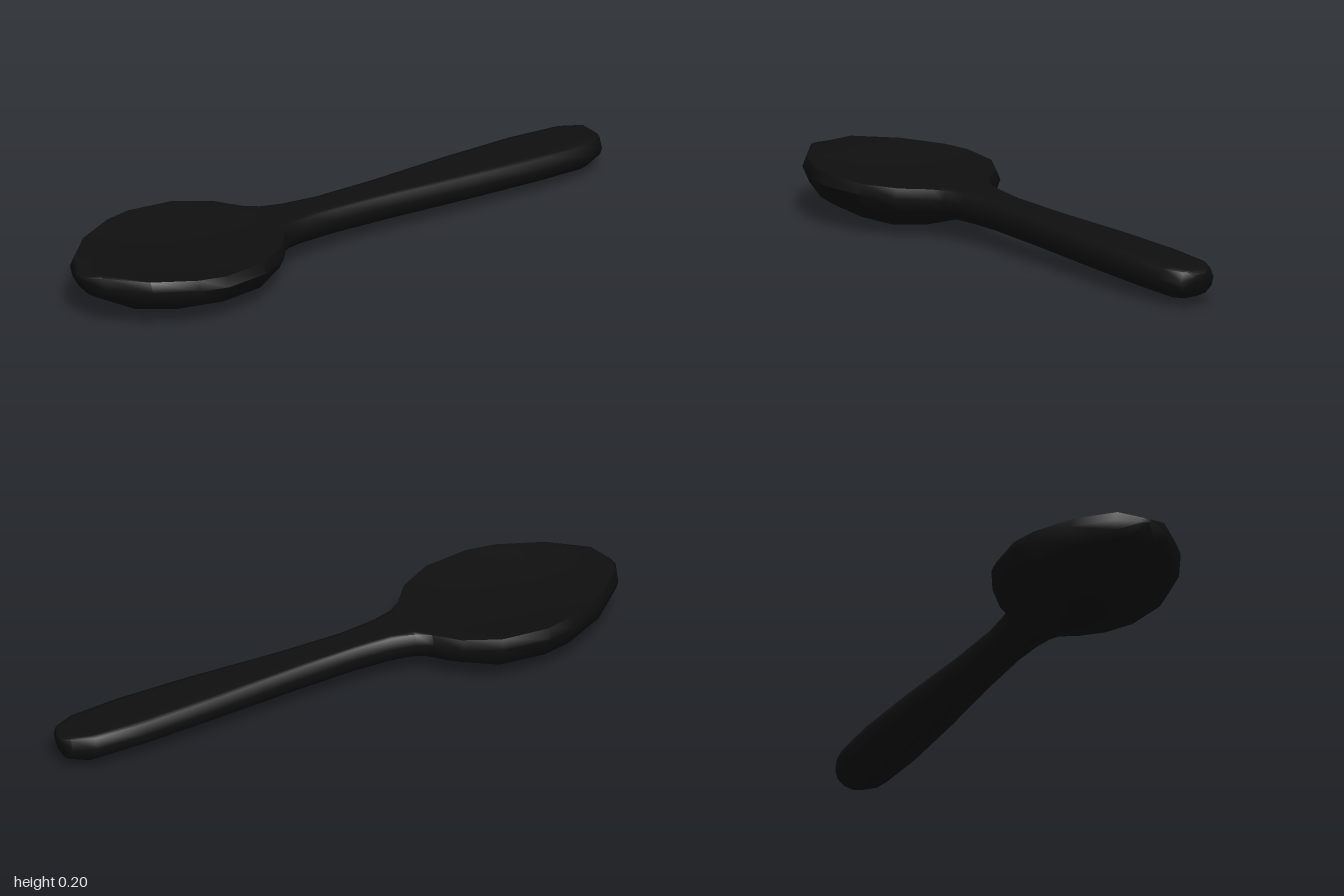
import * as THREE from 'three';
import { toCreasedNormals } from 'three/addons/utils/BufferGeometryUtils.js';

// Sections along the spoon: distance, half width, top height, bottom height, hollow depth
const sections = [
  [-1.033, 0.02, 0.175, 0.155, 0], [-0.997, 0.103, 0.196, 0.1, 0.003],
  [-0.882, 0.208, 0.194, 0.038, 0.02], [-0.738, 0.278, 0.19, 0.008, 0.032],
  [-0.64, 0.299, 0.187, 0, 0.034], [-0.479, 0.28, 0.183, 0.002, 0.027],
  [-0.362, 0.214, 0.179, 0.036, 0.014], [-0.296, 0.134, 0.176, 0.055, 0.004],
  [-0.25, 0.103, 0.174, 0.058, 0], [-0.174, 0.083, 0.171, 0.058, 0],
  [-0.05, 0.071, 0.165, 0.055, 0], [0.18, 0.078, 0.157, 0.046, 0],
  [0.485, 0.099, 0.147, 0.033, 0], [0.755, 0.109, 0.137, 0.022, 0],
  [0.94, 0.099, 0.13, 0.014, 0], [1.013, 0.066, 0.126, 0.036, 0],
  [1.033, 0.02, 0.112, 0.088, 0],
];
const ANGLE = Math.atan2(0.266, 0.964); // handle swings toward the back
const ROLL = 0.02;                       // upper face leans slightly to the front

// Closed ring of [across, height]: rim, bevelled hollow top, then a half-ellipse underside
function ring(w, top, bottom, hollow) {
  const rim = top - Math.min(0.037, 0.4 * (top - bottom));
  const edge = w - Math.min(0.016, 0.2 * w);
  const lip = top - Math.min(0.004, 0.1 * (top - bottom));
  const pts = [[w, rim], [edge, lip]];
  for (const r of [0.8, 0.45, 0, -0.45, -0.8]) {
    pts.push([r * edge, top - hollow * (1 - r * r)]);
  }
  pts.push([-edge, lip], [-w, rim]);
  for (const p of pts) p[1] -= ROLL * p[0];
  for (let k = 1; k < 6; k++) {
    const a = (k * Math.PI) / 6;
    pts.push([-w * Math.cos(a), rim - (rim - bottom) * Math.sin(a)]);
  }
  return pts;
}

function loft() {
  const pos = [];
  const index = [];
  let n = 0;
  for (const [s, w, top, bottom, hollow] of sections) {
    const pts = ring(w, top, bottom, hollow);
    n = pts.length;
    for (const [t, y] of pts) pos.push(s, y, t - 0.012);
  }
  const last = sections.length - 1;
  for (let i = 0; i < last; i++) {
    for (let j = 0; j < n; j++) {
      const a = i * n + j, b = i * n + ((j + 1) % n);
      index.push(a, a + n, b, b, a + n, b + n);
    }
  }
  // End caps
  for (let j = 1; j < n - 1; j++) {
    index.push(0, j, j + 1);
    index.push(last * n, last * n + j + 1, last * n + j);
  }
  const g = new THREE.BufferGeometry();
  g.setAttribute('position', new THREE.Float32BufferAttribute(pos, 3));
  g.setIndex(index);
  g.rotateY(ANGLE);
  g.translate(0, 0, -0.048);
  return toCreasedNormals(g, 0.95);
}

export function createModel() {
  const group = new THREE.Group();
  group.name = 'spoon';
  const material = new THREE.MeshStandardMaterial({ color: 0x0f0f0f });
  const body = new THREE.Mesh(loft(), material);
  body.name = 'bowlAndHandle';
  group.add(body);
  return group;
}
